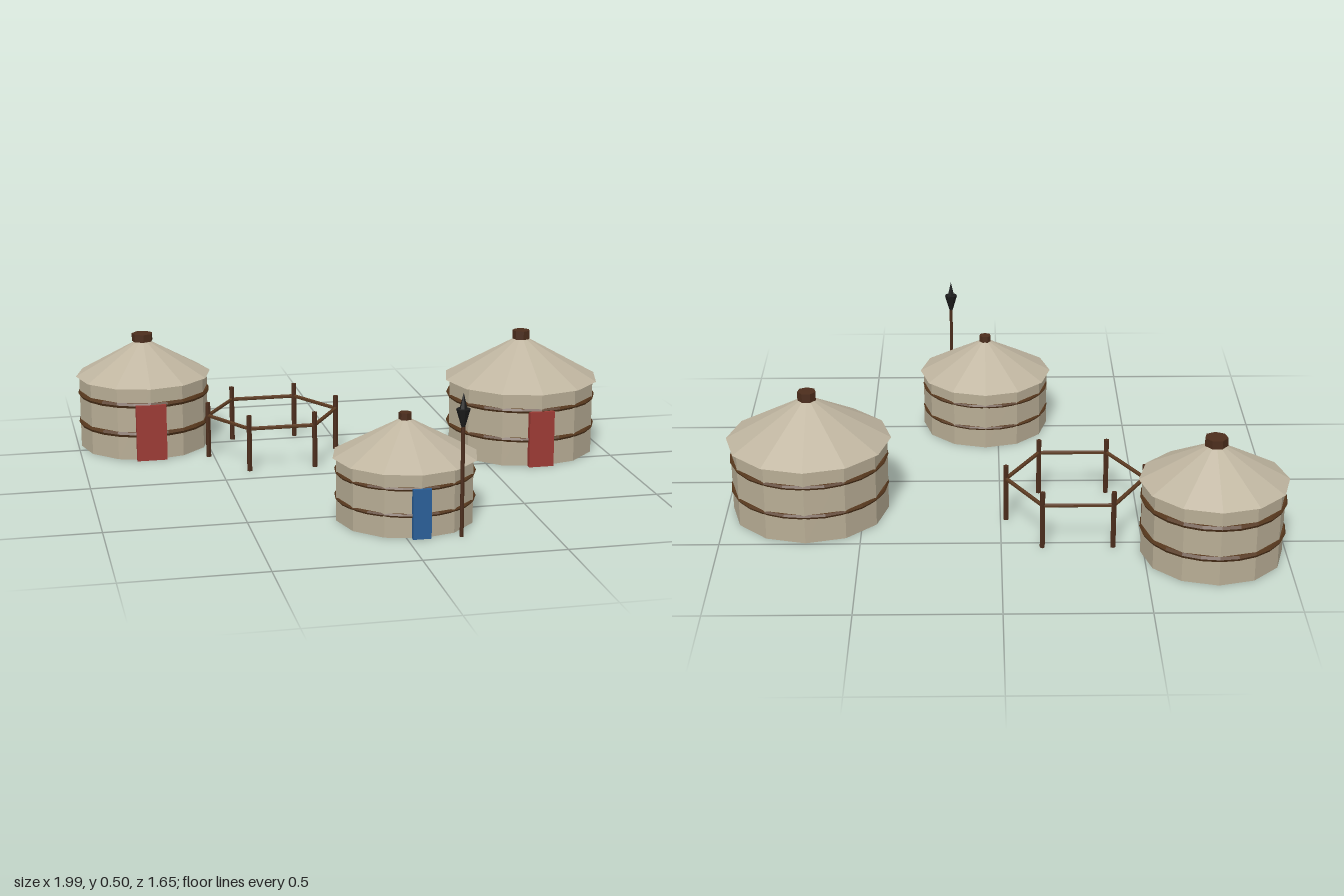
import * as THREE from 'three';

const mat = (name, color) => {
  const m = new THREE.MeshStandardMaterial({ color, flatShading: true });
  m.name = name;
  return m;
};

export function createModel() {
  const wallFelt = mat('wallFelt', 0xb8ad95);
  const roofFelt = mat('roofFelt', 0xbfb5a0);
  const rope = mat('rope', 0x58391e);
  const wood = mat('wood', 0x5c3b22);
  const darkWood = mat('darkWood', 0x4c2d1c);
  const redDoor = mat('redDoor', 0x9c3a34);
  const blueDoor = mat('blueDoor', 0x2a5f98);
  const iron = mat('iron', 0x1c1c1c);

  const model = new THREE.Group();
  model.name = 'felt tent camp';

  const add = (parent, name, geometry, material, x = 0, y = 0, z = 0) => {
    const mesh = new THREE.Mesh(geometry, material);
    mesh.name = name;
    mesh.position.set(x, y, z);
    parent.add(mesh);
    return mesh;
  };

  // Round felt tent: wall, conical roof, smoke crown, two ropes and a door
  function tent(name, t) {
    const g = new THREE.Group();
    g.name = name;
    g.position.set(t.x, 0, t.z);
    add(g, 'wall', new THREE.CylinderGeometry(t.r, t.r, t.wall, 12), wallFelt, 0, t.wall / 2);
    add(g, 'roof', new THREE.ConeGeometry(t.r * 1.05, t.rise, 12), roofFelt, 0, t.wall + t.rise / 2);
    add(g, 'smokeCrown', new THREE.CylinderGeometry(t.crown, t.crown, t.crownH, 7),
      darkWood, 0, t.wall + t.rise);
    for (const y of t.ropes) {
      const ring = new THREE.TorusGeometry(t.r * 0.977, t.rope, 6, 24).rotateX(Math.PI / 2);
      add(g, 'ropeBand', ring, rope, 0, y);
    }
    add(g, 'door', new THREE.BoxGeometry(t.doorW, t.doorH, 0.03), t.door, 0, t.doorH / 2, t.r - 0.004);
    model.add(g);
  }

  tent('backTent', {
    x: -0.738, z: -0.567, r: 0.25, wall: 0.281, rise: 0.146, crown: 0.041, crownH: 0.03,
    ropes: [0.1, 0.215], rope: 0.0115, doorW: 0.115, doorH: 0.218, door: redDoor,
  });
  tent('largeTent', {
    x: 0.694, z: -0.209, r: 0.285, wall: 0.281, rise: 0.168, crown: 0.034, crownH: 0.033,
    ropes: [0.102, 0.216], rope: 0.0095, doorW: 0.096, doorH: 0.215, door: redDoor,
  });
  tent('smallTent', {
    x: 0.05, z: 0.543, r: 0.245, wall: 0.226, rise: 0.138, crown: 0.023, crownH: 0.025,
    ropes: [0.08, 0.173], rope: 0.0075, doorW: 0.064, doorH: 0.176, door: blueDoor,
  });

  // Six-sided pen: posts joined by a single rail
  const pen = new THREE.Group();
  pen.name = 'pen';
  pen.position.set(-0.27, 0, -0.315);
  const R = 0.25;
  for (let i = 0; i < 6; i++) {
    const a = (i * Math.PI) / 3;
    add(pen, 'post', new THREE.CylinderGeometry(0.01, 0.01, 0.215, 6), darkWood,
      R * Math.cos(a), 0.1075, R * Math.sin(a));
    const m = a + Math.PI / 6, d = R * Math.cos(Math.PI / 6);
    const rail = add(pen, 'rail', new THREE.CylinderGeometry(0.0075, 0.0075, R, 6).rotateX(Math.PI / 2),
      wood, d * Math.cos(m), 0.164, d * Math.sin(m));
    rail.rotation.y = -m;
  }
  model.add(pen);

  // Standing spear: shaft, point and tapering tassel under it
  const spear = new THREE.Group();
  spear.name = 'spear';
  spear.position.set(0.187, 0, 0.798);
  add(spear, 'shaft', new THREE.CylinderGeometry(0.007, 0.007, 0.44, 6), darkWood, 0, 0.22);
  add(spear, 'point', new THREE.ConeGeometry(0.015, 0.06, 6), iron, 0, 0.475);
  add(spear, 'tassel', new THREE.CylinderGeometry(0.025, 0.006, 0.065, 7), iron, 0, 0.417);
  model.add(spear);

  return model;
}
